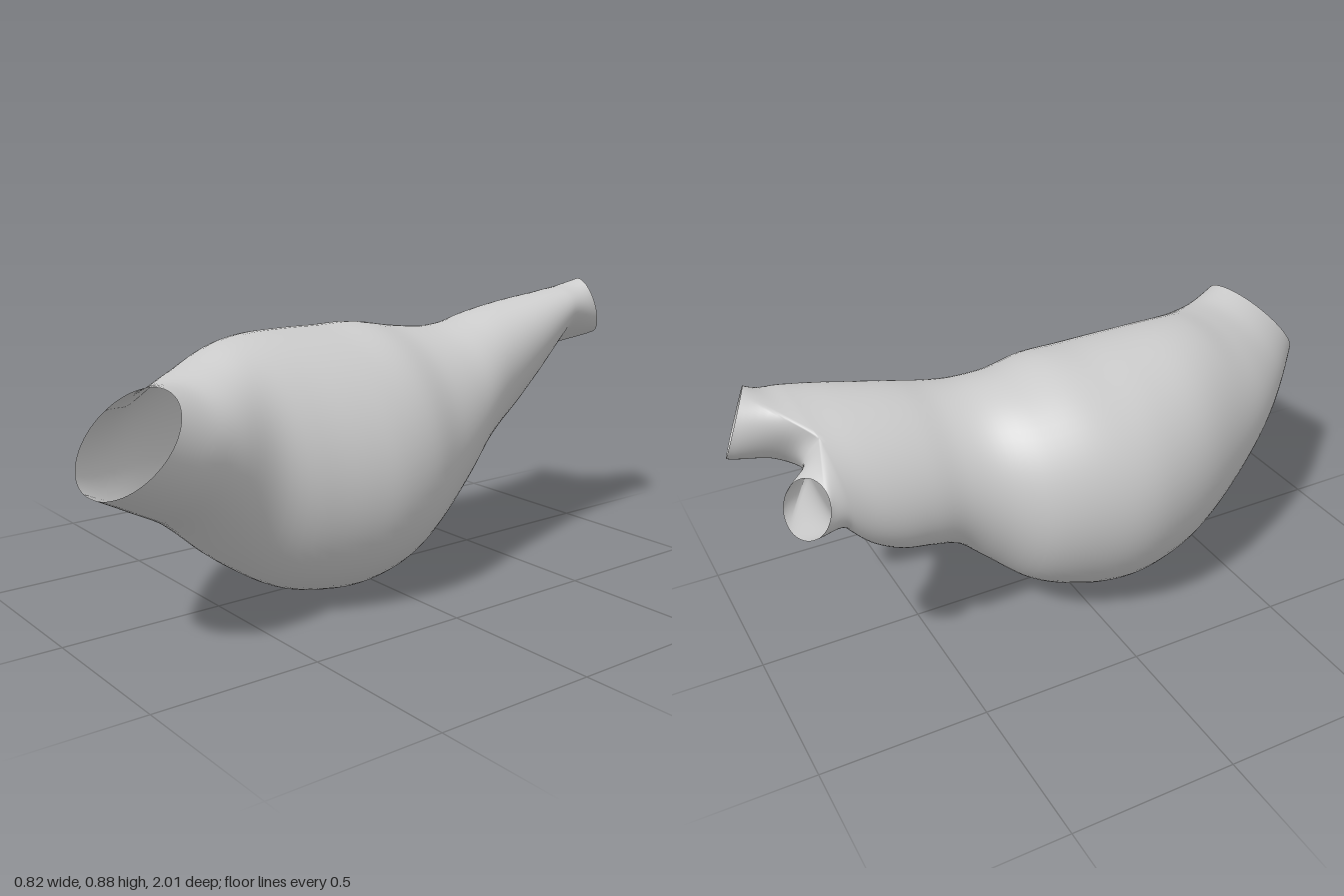
import * as THREE from 'three';
import { mergeVertices } from 'three/addons/utils/BufferGeometryUtils.js';

const N = 64;        // points around each ring
const SPLIT = 1.87;  // angle of the cleft where the wall forks

// Cross-sections, front to back:
// z, left, right, bottom, top, z lean along x, z lean along y, skew, cleft depth
const SECTIONS = [
  [0.90, 0.08, 0.41, 0.48, 0.74, -0.03, -0.10, 0, 0],
  [0.78, -0.05, 0.385, 0.40, 0.73, -0.03, -0.08, 0, 0],
  [0.65, -0.175, 0.355, 0.31, 0.75, -0.02, -0.06, 0, 0],
  [0.50, -0.275, 0.33, 0.16, 0.785, -0.01, -0.03, -0.03, 0],
  [0.35, -0.355, 0.355, 0.045, 0.80, 0, 0, -0.06, 0],
  [0.20, -0.40, 0.38, 0.005, 0.80, 0, 0, -0.07, 0],
  [0.08, -0.412, 0.387, 0.002, 0.797, 0, 0, -0.07, 0],
  [-0.05, -0.39, 0.365, 0.03, 0.797, 0, 0, -0.06, 0],
  [-0.18, -0.345, 0.315, 0.095, 0.775, 0, 0, -0.03, 0],
  [-0.30, -0.27, 0.275, 0.20, 0.765, 0, 0, 0.02, 0],
  [-0.40, -0.24, 0.245, 0.295, 0.775, 0, 0, 0.1, 0],
  [-0.50, -0.245, 0.215, 0.345, 0.80, 0, 0, 0.2, 0],
  [-0.60, -0.255, 0.195, 0.39, 0.82, 0, 0, 0.32, 0],
  [-0.70, -0.265, 0.18, 0.46, 0.84, -0.01, 0, 0.45, 0.04],
  [-0.785, -0.275, 0.165, 0.55, 0.855, -0.025, 0, 0.57, 0.14],
];
const LOWER_RIM = [-0.865, -0.304, -0.128, 0.577, 0.715, -0.033, 0.043, 0.2, 0];
const UPPER_RIM = [-0.955, 0.0, 0.16, 0.69, 0.88, 0.03, 0.035, 0, 0];

// Skewed ellipse that fills the given bounds, optionally pinched at the cleft
function ring([z, x0, x1, y0, y1, leanX, leanY, skew, cleft]) {
  return Array.from({ length: N }, (_, i) => {
    const a = (2 * Math.PI * i) / N;
    const k = 1 - cleft * Math.cos(a) ** 4;
    const c = k * Math.cos(SPLIT + a), s = k * Math.sin(SPLIT + a + skew);
    return new THREE.Vector3(
      (x0 + x1) / 2 + ((x1 - x0) / 2) * c,
      (y0 + y1) / 2 + ((y1 - y0) / 2) * s,
      z + leanX * c + leanY * s);
  });
}

// Smooth interpolation through the section table
function sectionAt(u) {
  const last = SECTIONS.length - 1;
  const i = Math.min(Math.floor(u), last - 1), t = u - i;
  const at = (j) => SECTIONS[THREE.MathUtils.clamp(j, 0, last)];
  return at(i).map((b, k) => {
    const a = at(i - 1)[k], c = at(i + 1)[k], d = at(i + 2)[k];
    return b + 0.5 * t * (c - a + t * (2 * a - 5 * b + 4 * c - d + t * (3 * (b - c) + d - a)));
  });
}

// Rings of one outlet: half of the fork ring plus a rounded saddle, curving into the rim.
// side is the direction from the saddle to this outlet.
function branchRings(before, fork, rimSection, takesFirstHalf, side) {
  const half = N / 2, steps = 12;
  const rim = ring(rimSection);
  const root = [], leave = [];
  fork.forEach((p, j) => {
    const ahead = p.clone().sub(before[j]);
    ahead.multiplyScalar(0.8 * (p.z - rim[j].z) / -ahead.z);
    const s = j < half ? j / half : (N - j) / half, bow = Math.sin(Math.PI * s);
    const outer = j % half === 0 || (j < half) === takesFirstHalf;
    // The wall turns sideways along the saddle and fades to straight on the outside
    const turn = outer ? 0.5 * (1 - bow) ** 2 : 0.5 + 0.5 * bow;
    leave.push(ahead.multiplyScalar(1 - turn).addScaledVector(side, turn));
    if (outer) {
      root.push(p);
    } else {
      const q = fork[0].clone().lerp(fork[half], s);
      q.z -= 0.03 * bow;
      root.push(q);
    }
  });
  return Array.from({ length: steps + 1 }, (_, r) => {
    const u = r / steps, w = u * u * (3 - 2 * u);
    return root.map((p, j) => {
      const arrive = rim[j].clone().sub(p);
      return p.clone().lerp(rim[j], w)
        .addScaledVector(leave[j], u * (1 - u) ** 2)
        .addScaledVector(arrive, u * u * (u - 1));
    });
  });
}

function addLoft(rings, positions, indices) {
  const base = positions.length / 3;
  rings.forEach((pts) => pts.forEach((p) => positions.push(p.x, p.y, p.z)));
  for (let r = 0; r < rings.length - 1; r++) {
    for (let j = 0; j < N; j++) {
      const a = base + r * N + j, b = base + r * N + ((j + 1) % N);
      indices.push(a, a + N, b, b, a + N, b + N);
    }
  }
}

export function createModel() {
  const group = new THREE.Group();
  group.name = 'bulgingVessel';

  // Bulging body from the front opening to the fork
  const body = [], steps = (SECTIONS.length - 1) * 5;
  for (let r = 0; r <= steps; r++) body.push(ring(sectionAt(r / 5)));
  const before = body[steps - 1], fork = body[steps];

  // Body and both outlets share one continuous smooth wall
  const positions = [], indices = [];
  const toUpper = new THREE.Vector3(0.17, 0.09, 0);
  const toLower = new THREE.Vector3(-0.1, -0.05, 0);
  addLoft(body, positions, indices);
  addLoft(branchRings(before, fork, LOWER_RIM, true, toLower), positions, indices);
  addLoft(branchRings(before, fork, UPPER_RIM, false, toUpper), positions, indices);

  let geometry = new THREE.BufferGeometry();
  geometry.setAttribute('position', new THREE.Float32BufferAttribute(positions, 3));
  geometry.setIndex(indices);
  geometry = mergeVertices(geometry, 1e-5);
  geometry.computeVertexNormals();

  const wall = new THREE.Mesh(geometry, new THREE.MeshStandardMaterial({ color: 0xcccccc, side: THREE.DoubleSide }));
  wall.name = 'vesselWall';
  group.add(wall);
  return group;
}
